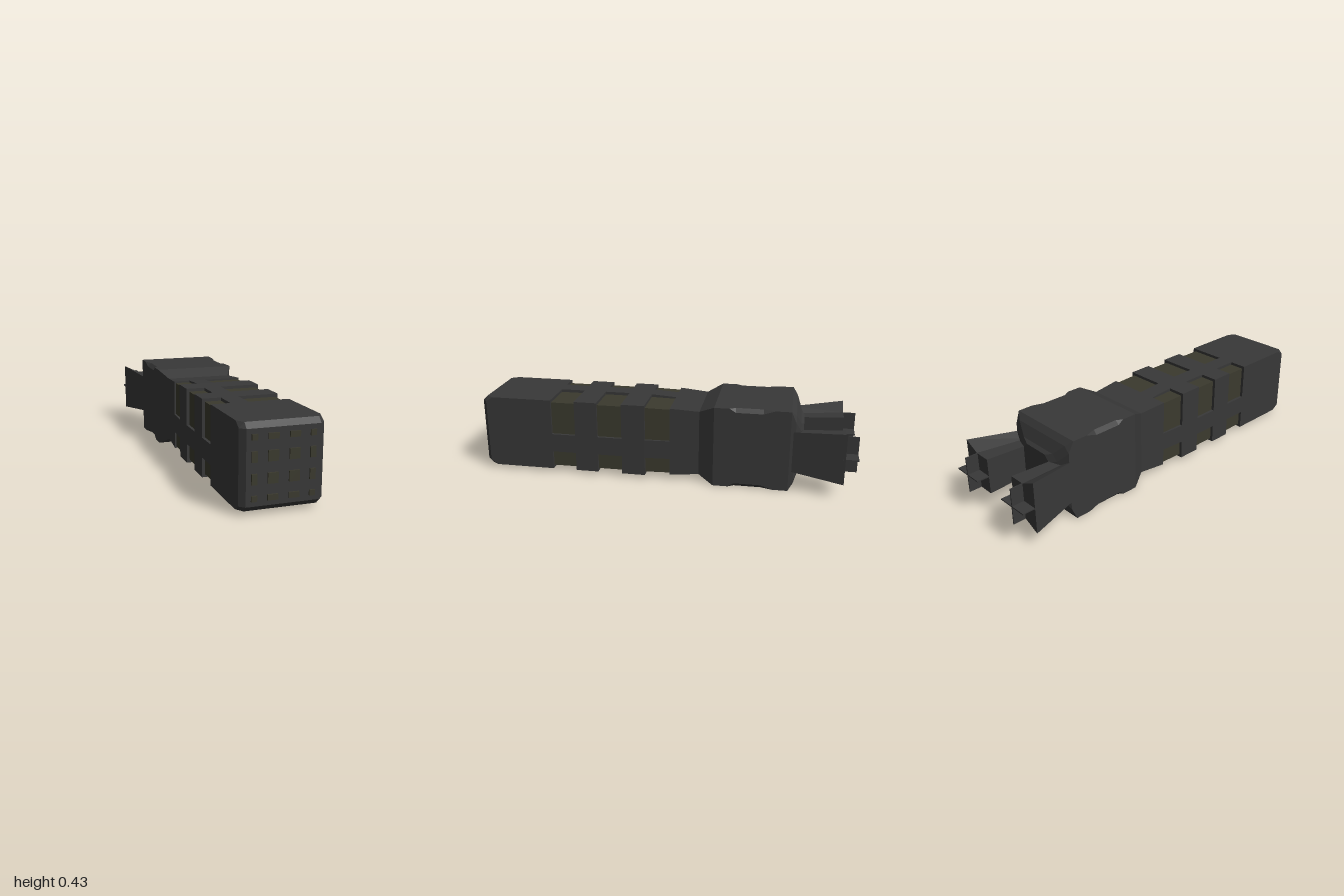
import * as THREE from 'three';

const CY = 0.215; // height of the long axis
const dark = new THREE.MeshStandardMaterial({ color: 0x383838, flatShading: true });
const olive = new THREE.MeshStandardMaterial({ color: 0x3b3a2e, flatShading: true });

// Closed loft through rings of [x, y, z], counter-clockwise from +z, ordered front to back
function loft(rings) {
  const pos = [];
  const tri = (...pts) => pts.forEach((p) => pos.push(p[0], p[1] + CY, p[2]));
  const n = rings[0].length;
  const centre = (r) => [0, 1, 2].map((k) => r.reduce((s, p) => s + p[k], 0) / n);
  const first = rings[0], last = rings[rings.length - 1];
  for (let i = 0; i < n; i++) {
    const j = (i + 1) % n;
    for (let s = 0; s + 1 < rings.length; s++) {
      const a = rings[s], b = rings[s + 1];
      tri(a[i], b[i], a[j]);
      tri(a[j], b[i], b[j]);
    }
    tri(centre(first), first[i], first[j]);
    tri(centre(last), last[j], last[i]);
  }
  const g = new THREE.BufferGeometry();
  g.setAttribute('position', new THREE.Float32BufferAttribute(pos, 3));
  g.computeVertexNormals();
  return g;
}

// Rectangle with corners cut by c
const octagon = (z, hx, hy = hx, c = 0) => [
  [hx, -hy + c, z], [hx, hy - c, z], [hx - c, hy, z], [-hx + c, hy, z],
  [-hx, hy - c, z], [-hx, -hy + c, z], [-hx + c, -hy, z], [hx - c, -hy, z],
];
const rect = (z, x0, x1, y0, y1) => [[x1, y0, z], [x1, y1, z], [x0, y1, z], [x0, y0, z]];

// Half width of the barrel, tapering towards the rear
const half = (z) => (z > 0.08 ? 0.195 : 0.195 - 0.02 * (0.08 - z) / 0.27);

export function createModel() {
  const model = new THREE.Group();
  const add = (parent, name, geometry, material = dark) => {
    const m = new THREE.Mesh(geometry, material);
    m.name = name;
    parent.add(m);
    return m;
  };
  const box = (parent, name, size, at, material) =>
    add(parent, name, new THREE.BoxGeometry(...size), material).position.set(at[0], at[1] + CY, at[2]);

  // Barrel: solid bands alternating with bands whose corners are recessed
  const barrel = new THREE.Group();
  barrel.name = 'barrel';
  model.add(barrel);
  const slots = [[0.607, 0.477], [0.355, 0.222], [0.097, -0.037]];
  add(barrel, 'barrelFront', loft([
    octagon(0.992, 0.17), octagon(0.968, 0.195, 0.195, 0.025),
    octagon(0.93, 0.195), octagon(slots[0][0], 0.195),
  ]));
  slots.forEach(([z0, z1], i) => {
    const h0 = half(z0), h1 = half(z1);
    add(barrel, 'sideRib', loft([rect(z0, -h0, h0, -0.095, 0.005), rect(z1, -h1, h1, -0.095, 0.005)]));
    add(barrel, 'topRib', loft([rect(z0, -0.1, -0.01, -h0, h0), rect(z1, -0.1, -0.01, -h1, h1)]));
    const f = Math.min(0.18, h1 - 0.009);
    add(barrel, 'slotFloor', loft([octagon(z0, 0.18), octagon(z1, f)]), olive);
    const end = i < 2 ? slots[i + 1][0] : -0.19;
    const zs = end < 0.08 && z1 > 0.08 ? [z1, end] : [z1, (z1 + end) / 2, end];
    add(barrel, 'barrelBand', loft(zs.map((z) => octagon(z, half(z)))));
  });

  // Grid of small plates on the front face: [centre, size] along each axis
  const cells = [[-0.134, 0.026], [-0.049, 0.048], [0.049, 0.048], [0.134, 0.026]];
  for (const [x, w] of cells) for (const [y, h] of cells) {
    box(model, 'frontPlate', [w, h, 0.02], [x, y, 0.99], olive);
  }

  // Rear housing with cut edges along its middle and a bevelled back
  add(model, 'rearHousing', loft([
    octagon(-0.19, 0.175), octagon(-0.27, 0.215), octagon(-0.35, 0.215),
    octagon(-0.38, 0.215, 0.215, 0.02), octagon(-0.52, 0.215, 0.215, 0.02),
    octagon(-0.58, 0.215), octagon(-0.66, 0.215),
    octagon(-0.685, 0.208, 0.185, 0.03), octagon(-0.71, 0.145, 0.125, 0.03),
    octagon(-0.725, 0.1, 0.11, 0.03),
  ]));

  // Two flared rear prongs, each ending in crossed plates
  for (const s of [1, -1]) {
    const prong = new THREE.Group();
    prong.name = s > 0 ? 'leftProng' : 'rightProng';
    model.add(prong);
    const ring = (z, xm, xo, hi, ho) => {
      const r = [[0.1, -hi], [xm, -hi], [xo, -ho], [xo, ho], [xm, hi], [0.1, hi]]
        .map(([x, y]) => [s * x, y, z]);
      return s > 0 ? r : r.reverse();
    };
    add(prong, 'prongBody', loft([ring(-0.66, 0.16, 0.208, 0.08, 0.107), ring(-0.935, 0.187, 0.27, 0.095, 0.135)]));
    box(prong, 'horizontalPlate', [0.168, 0.006, 0.08], [s * 0.184, 0, -0.96]);
    box(prong, 'verticalPlate', [0.006, 0.19, 0.08], [s * 0.184, 0, -0.96]);
  }
  return model;
}
